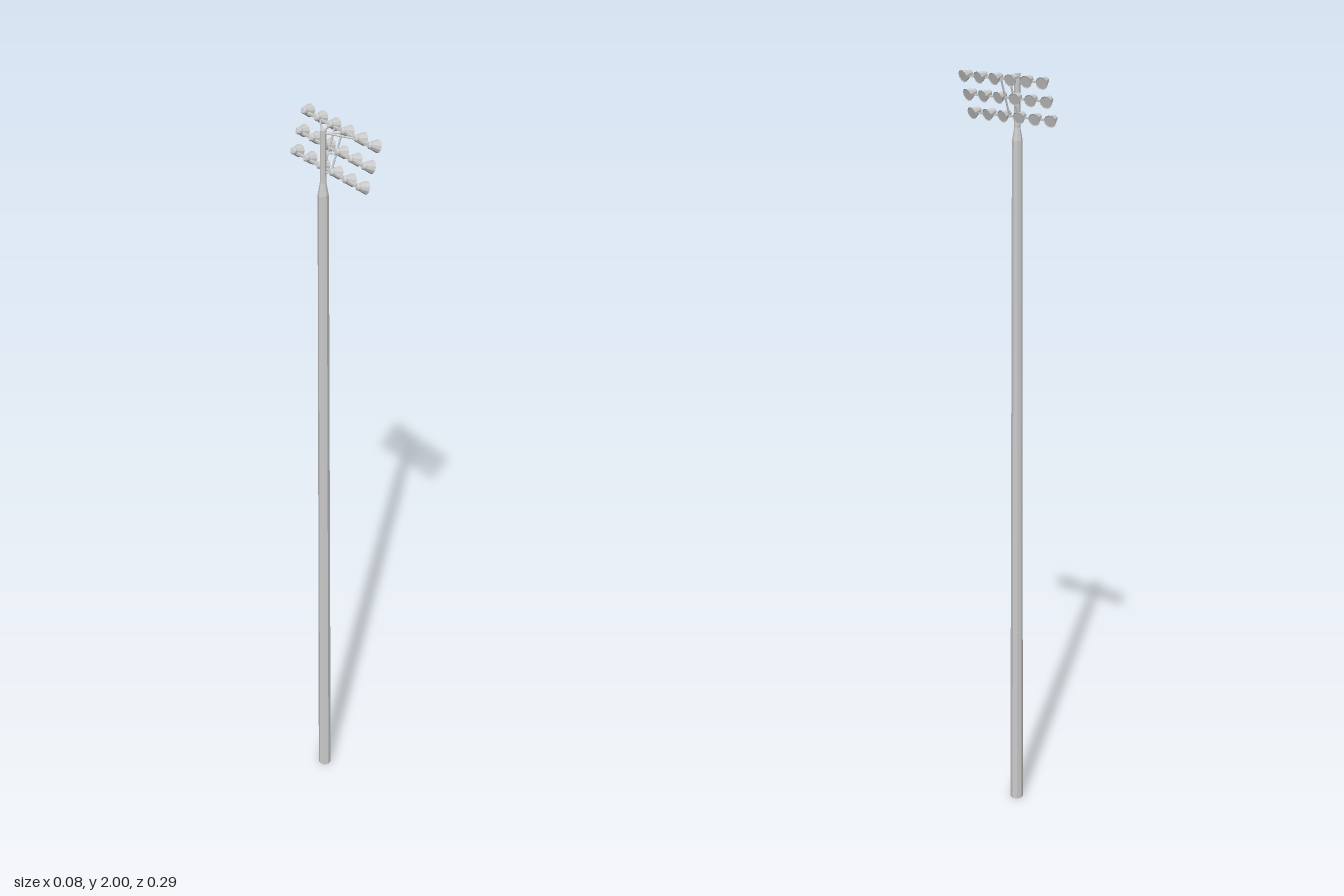
import * as THREE from 'three';

const POLE_X = -0.026;
const material = new THREE.MeshStandardMaterial({ color: 0xcccccc, flatShading: true, side: THREE.DoubleSide });

function add(parent, name, geometry) {
  const mesh = new THREE.Mesh(geometry, material);
  mesh.name = name;
  parent.add(mesh);
  return mesh;
}

// Thin strut between two points
function strut(parent, name, a, b, radius = 0.002) {
  const from = new THREE.Vector3(...a), to = new THREE.Vector3(...b);
  const dir = to.clone().sub(from);
  const mesh = add(parent, name, new THREE.CylinderGeometry(radius, radius, dir.length(), 6));
  mesh.position.copy(from).add(to).multiplyScalar(0.5);
  mesh.quaternion.setFromUnitVectors(new THREE.Vector3(0, 1, 0), dir.normalize());
  return mesh;
}

// Closed floodlight profile with its mouth at the origin, opening along +y
const lampProfile = [[0, -0.028], [0.006, -0.028], [0.009, -0.024], [0.0095, -0.019],
  [0.0165, 0], [0.0145, -0.001], [0, -0.001]].map(([r, y]) => new THREE.Vector2(r, y));
const lampGeometry = new THREE.LatheGeometry(lampProfile, 10);

export function createModel() {
  const model = new THREE.Group();
  model.name = 'floodlightMast';

  // Tapered pole, shoulder and slim top post in one profile
  const poleProfile = [[0, 0], [0.0175, 0], [0.0135, 1.83], [0.008, 1.862], [0.0075, 1.996], [0, 1.996]]
    .map(([r, y]) => new THREE.Vector2(r, y));
  add(model, 'pole', new THREE.LatheGeometry(poleProfile, 8)).position.x = POLE_X;

  // Three rows, each stepped forward and up
  const rows = [0, 1, 2].map(i => ({ x: -0.013 + i * 0.0165, y: 1.89 + i * 0.0475 }));
  const columns = [-0.125, -0.075, -0.025, 0.025, 0.075, 0.125];

  const rack = new THREE.Group();
  rack.name = 'lampRack';
  model.add(rack);
  const lamps = new THREE.Group();
  lamps.name = 'lamps';
  model.add(lamps);

  rows.forEach(({ x, y }) => {
    const bar = add(rack, 'crossbar', new THREE.BoxGeometry(0.006, 0.005, 0.25));
    bar.position.set(x, y, 0);
    columns.forEach(z => {
      // Each lamp aims slightly downward and fans outward
      const splay = Math.sign(z) * (0.1 + Math.abs(z) * 0.9);
      const aim = new THREE.Vector3(Math.cos(splay), -0.32, Math.sin(splay)).normalize();
      const lamp = add(lamps, 'lamp', lampGeometry);
      lamp.quaternion.setFromUnitVectors(new THREE.Vector3(0, 1, 0), aim);
      lamp.position.set(x, y + 0.004, z).addScaledVector(aim, 0.0155);
    });
  });

  const [low, mid, high] = rows;
  for (const side of [-1, 1]) {
    // Sloping rails tying the rows together
    strut(rack, 'rail', [low.x, low.y, side * 0.014], [high.x, high.y, side * 0.014], 0.0025);
    // Arms fanning from the post to the rack
    for (const z of [0.03, 0.07])
      strut(rack, 'topArm', [POLE_X, 1.99, side * 0.003], [high.x, high.y, side * z], 0.0025);
    strut(rack, 'middleArm', [POLE_X, mid.y, 0], [mid.x, mid.y, side * 0.03]);
    strut(rack, 'lowerArm', [POLE_X, low.y, 0], [low.x, low.y, side * 0.03]);
  }
  return model;
}
